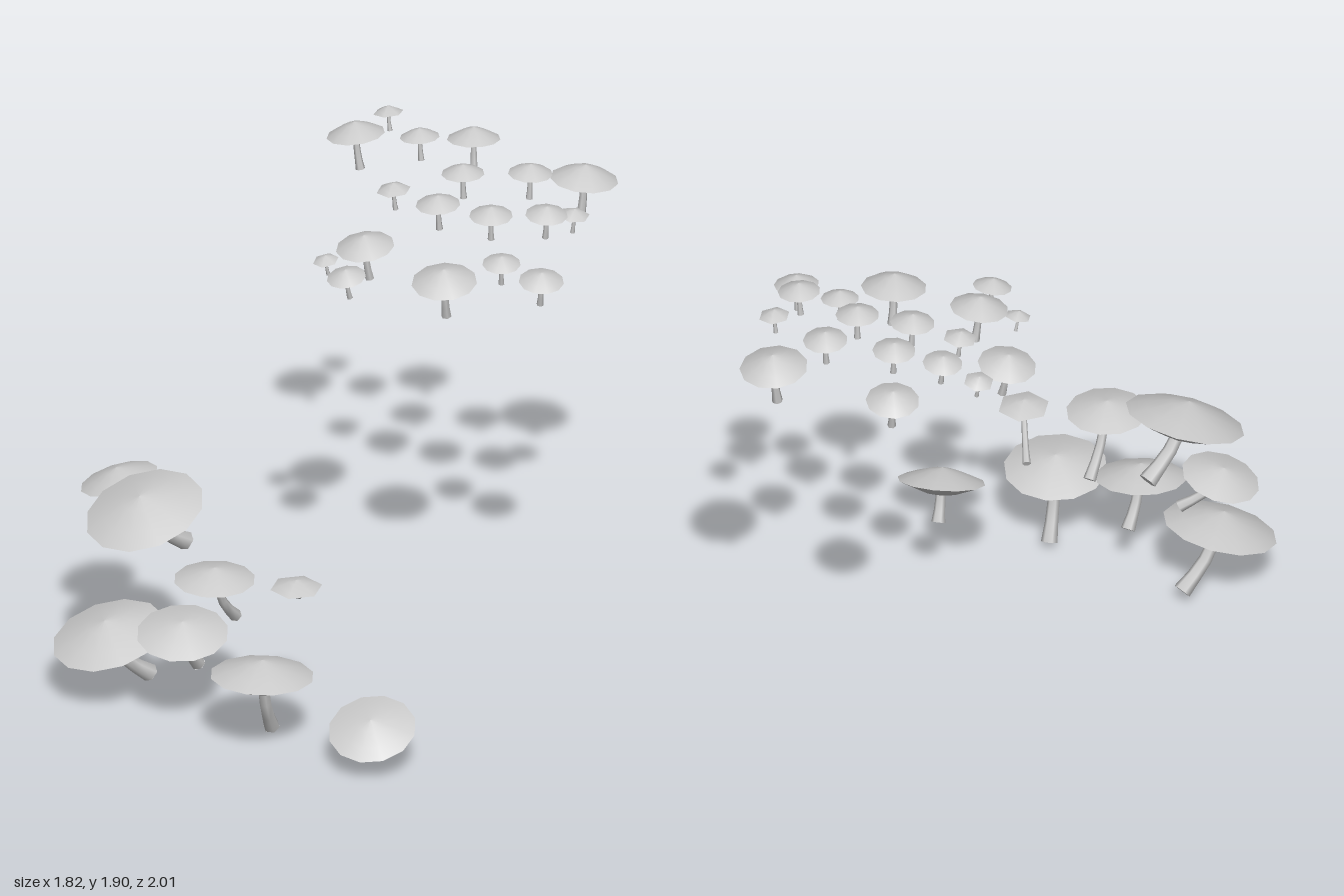
import * as THREE from 'three';

const material = new THREE.MeshStandardMaterial({ color: 0xcccccc, side: THREE.DoubleSide });
const v2 = (pts) => pts.map(([x, y]) => new THREE.Vector2(x, y));

function mesh(geometry, name) {
  const m = new THREE.Mesh(geometry, material);
  m.name = name;
  return m;
}

// Low cone on top, hollow collar underneath; unit radius
function makeCap(sides, height, depth) {
  const cap = new THREE.Group();
  cap.name = 'cap';
  const top = v2([[1, 0], [0.7, 0.38 * height], [0.3, 0.8 * height], [0, height]]);
  const under = v2([[0.08, 0.04], [0.33, -0.5 * depth], [0.45, -depth], [1, 0]]);
  cap.add(mesh(new THREE.LatheGeometry(top, sides), 'capTop'));
  cap.add(mesh(new THREE.LatheGeometry(under, sides), 'capUnderside'));
  return cap;
}

// Bent stem, wider at the foot
function makeStem(points, rFoot, rTop) {
  const stem = new THREE.Group();
  stem.name = 'stem';
  const curve = new THREE.CatmullRomCurve3(points);
  const segments = 4, sides = 6;
  const tube = new THREE.TubeGeometry(curve, segments, 1, sides);
  const pos = tube.attributes.position, p = new THREE.Vector3();
  for (let i = 0; i < pos.count; i++) {
    const t = Math.floor(i / (sides + 1)) / segments;
    const c = curve.getPointAt(t);
    p.fromBufferAttribute(pos, i).sub(c);
    p.multiplyScalar(THREE.MathUtils.lerp(rFoot, rTop, Math.sqrt(t))).add(c);
    pos.setXYZ(i, p.x, p.y, p.z);
  }
  const foot = mesh(new THREE.CircleGeometry(rFoot, sides), 'stemFoot');
  foot.position.copy(points[0]);
  foot.quaternion.setFromUnitVectors(new THREE.Vector3(0, 0, 1), curve.getTangentAt(0).negate());
  stem.add(mesh(tube, 'stemShaft'), foot);
  return stem;
}

// c: rim centre, slopeX/slopeZ: rise of the rim along x and z
function makeMushroom(c, r, slopeX, slopeZ, foot, sides, height, depth) {
  const g = new THREE.Group();
  g.name = 'mushroom';
  const normal = new THREE.Vector3(-slopeX, 1, -slopeZ).normalize();
  const cap = makeCap(sides, height, depth);
  cap.scale.setScalar(r);
  cap.position.copy(c);
  cap.quaternion.setFromUnitVectors(new THREE.Vector3(0, 1, 0), normal);
  // the stem drops steeply from the cap, then sweeps out to its foot
  const bend = c.clone().lerp(foot, 0.42);
  bend.y = THREE.MathUtils.lerp(c.y, foot.y, 0.58);
  const head = c.clone().addScaledVector(normal, 0.06 * r);
  g.add(cap, makeStem([foot, bend, head], r * 0.16, r * 0.1));
  return g;
}

// Upper patch: rim centre x, y, z and radius
const UPPER = [
  [-0.03, 1.875, -0.85, 0.058], [-0.11, 1.85, -0.69, 0.112], [0.29, 1.785, -0.905, 0.102],
  [0.13, 1.855, -0.73, 0.076], [0.34, 1.795, -0.6, 0.082], [0.6, 1.825, -0.62, 0.085],
  [0.775, 1.765, -0.745, 0.13], [0.115, 1.77, -0.44, 0.066], [0.31, 1.77, -0.375, 0.085],
  [0.525, 1.765, -0.355, 0.083], [0.755, 1.82, -0.32, 0.081], [0.83, 1.775, -0.43, 0.06],
  [0.1, 1.685, -0.12, 0.112], [-0.04, 1.63, -0.07, 0.05], [0.085, 1.65, 0.075, 0.075],
  [0.45, 1.65, 0.005, 0.125], [0.63, 1.68, -0.145, 0.073], [0.81, 1.67, -0.07, 0.086],
];

// Lower patch: rim centre x, y, z, radius, slope x, z, then foot x, y, z
const LOWER = [
  [-0.57, 0.79, 0.54, 0.232, 0.2, -0.3, -0.455, 0.6, 0.38],
  [-0.76, 0.75, 0.245, 0.152, 0.28, 0, -0.61, 0.63, 0.2],
  [-0.235, 0.645, 0.735, 0.155, 0, 0, -0.195, 0.425, 0.59],
  [0.08, 0.645, 0.71, 0.1, 0, 0, 0.035, 0.515, 0.525],
  [-0.37, 0.38, 0.705, 0.175, -0.03, -0.2, -0.34, 0.205, 0.6],
  [-0.695, 0.265, 0.59, 0.222, 0.2, -0.22, -0.575, 0.055, 0.45],
  [-0.025, 0.305, 0.81, 0.198, 0, 0.08, -0.02, 0.035, 0.7],
  [0.42, 0.16, 0.845, 0.168, 0, -0.42, 0.42, 0.015, 0.78],
];

export function createModel() {
  const model = new THREE.Group();
  model.name = 'mushroomPatches';

  // Small mushrooms lean gently across the patch, stems square to the caps
  const upper = new THREE.Group();
  upper.name = 'upperPatch';
  for (const [x, y, z, r] of UPPER) {
    const slopeX = 0.12 - 0.25 * x, slopeZ = -0.15 - 0.3 * z, drop = 1.25 * r;
    const foot = new THREE.Vector3(x + slopeX * drop, y - drop, z + slopeZ * drop);
    upper.add(makeMushroom(new THREE.Vector3(x, y, z), r, slopeX, slopeZ, foot,
      r < 0.07 ? 6 : 11, 0.46, 0.14));
  }

  // Large mushrooms tilt freely on bent stems
  const lower = new THREE.Group();
  lower.name = 'lowerPatch';
  for (const [x, y, z, r, slopeX, slopeZ, ...foot] of LOWER) {
    lower.add(makeMushroom(new THREE.Vector3(x, y, z), r, slopeX, slopeZ,
      new THREE.Vector3(...foot), r < 0.12 ? 6 : 12, 0.32, 0.23));
  }

  model.add(upper, lower);
  return model;
}
